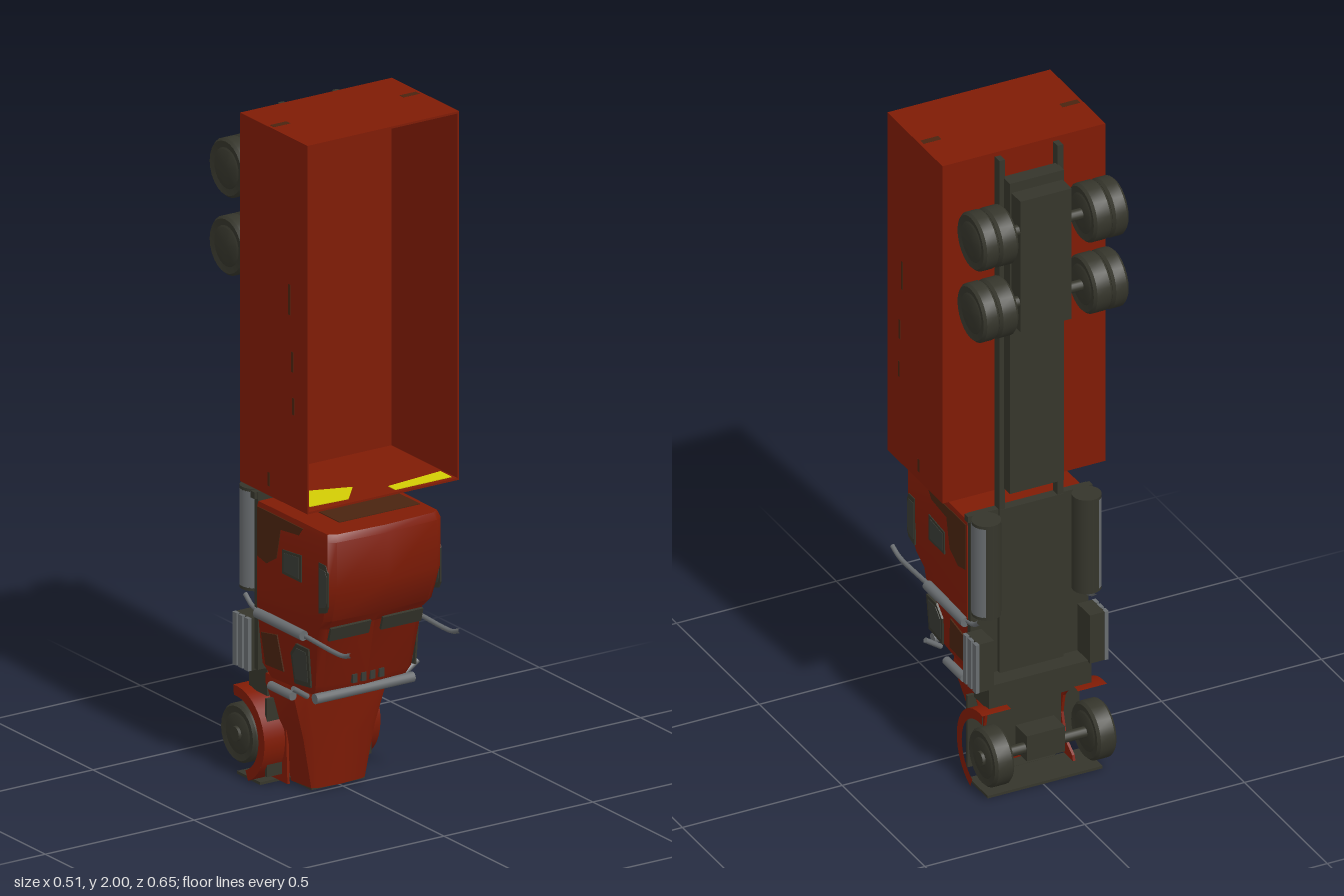
import * as THREE from 'three';
import { toCreasedNormals } from 'three/addons/utils/BufferGeometryUtils.js';

export function createModel() {
  const root = new THREE.Group();
  root.name = 'uprightDumpTruck';
  // The truck sits slightly to one side under the cargo box
  const truck = new THREE.Group();
  truck.name = 'truck';
  truck.position.x = -0.006;
  const cargo = new THREE.Group();
  cargo.name = 'cargoBox';
  root.add(truck, cargo);

  const paint = (name, color) => {
    const m = new THREE.MeshStandardMaterial({ color });
    m.name = name;
    return m;
  };
  const red = paint('red paint', 0x7f1b05);
  const brown = paint('brown wear', 0x4a2410);
  const dark = paint('dark rubber and frame', 0x35352b);
  const metal = paint('grey metal', 0x686c6f);
  const glass = paint('dark glass', 0x393b35);
  const yellow = paint('yellow paint', 0xd2cc04);

  const add = (name, geo, mat, x = 0, y = 0, z = 0, parent = truck) => {
    const m = new THREE.Mesh(geo, mat);
    m.name = name;
    m.position.set(x, y, z);
    parent.add(m);
    return m;
  };
  // Box given by its limits along each axis
  const box = (name, mat, x0, x1, y0, y1, z0, z1, parent = truck) =>
    add(name, new THREE.BoxGeometry(Math.abs(x1 - x0), y1 - y0, z1 - z0), mat,
      (x0 + x1) / 2, (y0 + y1) / 2, (z0 + z1) / 2, parent);
  const rod = (name, mat, r, length, axis, x, y, z, sides = 14) => {
    const g = new THREE.CylinderGeometry(r, r, length, sides);
    if (axis === 'x') g.rotateZ(Math.PI / 2);
    if (axis === 'z') g.rotateX(Math.PI / 2);
    return add(name, g, mat, x, y, z);
  };
  const shapeOf = (pts) => new THREE.Shape(pts.map(([x, y]) => new THREE.Vector2(x, y)));
  // Body shell through sections [y, floor half width, roof half width, floor z, roof z, corner]
  const loft = (sections, crease) => {
    const pos = [], idx = [], n = 7;
    for (const [y, w0, w1, z0, z1, c] of sections) {
      const ring = [[0, z1], [w1 - c, z1 - c * 0.4], [w1, z1 - c], [w0, z0], [-w0, z0], [-w1, z1 - c], [c - w1, z1 - c * 0.4]];
      for (const [x, z] of ring) pos.push(x, y, z);
    }
    const last = (sections.length - 1) * n;
    for (let i = 0; i < last; i += n)
      for (let j = 0; j < n; j++) {
        const a = i + j, b = i + (j + 1) % n;
        idx.push(a, b, b + n, a, b + n, a + n);
      }
    for (let j = 1; j < n - 1; j++) idx.push(0, j + 1, j, last, last + j, last + j + 1);
    const g = new THREE.BufferGeometry();
    g.setAttribute('position', new THREE.Float32BufferAttribute(pos, 3));
    g.setIndex(idx);
    return toCreasedNormals(g, crease);
  };

  // Open cargo box
  const t = 0.006;
  box('cargoFloor', red, -0.255, 0.255, 0.912, 2, -0.133, -0.133 + t, cargo);
  box('cargoTailWall', red, -0.255, 0.255, 2 - t, 2, -0.133, 0.2, cargo);
  box('cargoHeadWall', red, -0.255, 0.255, 0.912, 0.912 + t, -0.133, 0.2, cargo);
  for (const s of [-1, 1]) {
    box('cargoSideWall', red, s * (0.255 - t), s * 0.255, 0.912, 2, -0.133, 0.2, cargo);
    // Thin brown scratches along the walls
    for (const [z, y, h] of [[0.11, 1.52, 0.09], [0.125, 1.34, 0.06], [0.13, 1.21, 0.05], [0.01, 0.96, 0.04]])
      box('wallScratch', brown, s * 0.254, s * 0.256, y - h / 2, y + h / 2, z - 0.005, z + 0.005, cargo);
    box('tailScratch', brown, s * 0.19, s * 0.245, 1.998, 2.0005, 0, 0.02, cargo);
  }
  box('floorWear', brown, -0.249, -0.234, 1.0, 1.98, -0.128, -0.126, cargo);
  // Worn yellow patches on the head wall
  const patch = (pts, y) => add('yellowPatch',
    new THREE.ExtrudeGeometry(shapeOf(pts), { depth: 0.002, bevelEnabled: false }).rotateX(-Math.PI / 2), yellow, 0, y, 0, cargo);
  patch([[-0.225, -0.167], [-0.1, -0.175], [-0.035, -0.1], [-0.19, -0.045], [-0.165, 0.085], [-0.24, 0.05]], 0.918);
  patch([[0.05, -0.185], [0.24, -0.185], [0.24, -0.13], [0.05, -0.15]], 0.918);
  patch([[0.13, -0.11], [0.24, -0.18], [0.24, 0.1], [0.19, 0.1], [0.18, -0.02]], 0.91);

  // Cab and hood
  add('cab', loft([
    [0.325, 0.165, 0.15, -0.1, 0.11, 0.02],
    [0.36, 0.172, 0.16, -0.135, 0.13, 0.02],
    [0.54, 0.188, 0.175, -0.14, 0.165, 0.022],
    [0.575, 0.188, 0.182, -0.14, 0.2, 0.022],
    [0.68, 0.188, 0.19, -0.14, 0.235, 0.022],
    [0.82, 0.188, 0.19, -0.14, 0.235, 0.022],
    [0.84, 0.186, 0.184, -0.135, 0.225, 0.022]], 0.6), red);
  add('hood', loft([
    [0.008, 0.1, 0.09, -0.1, 0, 0.015],
    [0.16, 0.125, 0.12, -0.11, 0.015, 0.025],
    [0.3, 0.165, 0.16, -0.13, 0.03, 0.03],
    [0.33, 0.165, 0.15, -0.13, 0.035, 0.03]], 0.6), red);
  box('cabEndWear', brown, -0.1, 0.17, 0.839, 0.842, 0.02, 0.14);
  box('cowlUnderside', dark, -0.145, 0.145, 0.321, 0.327, 0.035, 0.1);

  for (const x of [-0.045, -0.015, 0.015, 0.045]) box('cowlVent', glass, x - 0.008, x + 0.008, 0.355, 0.38, 0.118, 0.136);

  for (const s of [-1, 1]) {
    // Thin windscreen plates tucked on the slope below the brow
    box('windscreen', dark, s * 0.02, s * 0.155, 0.508, 0.55, 0.166, 0.174).rotation.x = 0.3;

    // Side plates from an outline in (z, y)
    const plate = (name, pts, mat, x, lean, depth) => {
      const g = new THREE.ExtrudeGeometry(shapeOf(pts.map(([z, y]) => [-z, y])), { depth, bevelEnabled: false });
      g.rotateY(Math.PI / 2).translate(-depth / 2, 0, 0);
      add(name, g, mat, s * x, 0, 0).rotation.z = -s * lean;
    };
    // Windows: a thin dark frame with a smaller pane on it
    const win = (name, pts, x, lean = 0) => {
      const mid = [0, 1].map((k) => pts.reduce((sum, p) => sum + p[k], 0) / pts.length);
      plate(name + 'Frame', pts, dark, x, lean, 0.006);
      plate(name, pts.map((p) => p.map((v, k) => mid[k] + (v - mid[k]) * 0.78)), glass, x, lean, 0.009);
    };
    win('sleeperWindow', [[0.085, 0.665], [-0.01, 0.665], [-0.01, 0.735], [0.085, 0.745]], 0.189);
    win('cornerWindow', [[0.205, 0.61], [0.17, 0.6], [0.17, 0.75], [0.205, 0.75], [0.215, 0.73], [0.215, 0.63]], 0.189);
    win('doorWindow', [[0.11, 0.36], [0.03, 0.35], [0.02, 0.44], [0.05, 0.475], [0.11, 0.475]], 0.148, 0.075);
    // Brown wear on the cab sides
    plate('sideWear', [[0.09, 0.825], [0.07, 0.8], [-0.02, 0.79], [-0.04, 0.7], [-0.09, 0.67], [-0.135, 0.68], [-0.135, 0.825]], brown, 0.189, 0, 0.003);
    plate('doorWear', [[-0.02, 0.37], [-0.11, 0.365], [-0.12, 0.46], [-0.04, 0.475]], brown, 0.145, 0.09, 0.004);

    // Front fender: a thin outer shell, its side lip and the apron joining it to the hood
    const shell = new THREE.CylinderGeometry(0.138, 0.138, 0.09, 18, 1, true, -1.15, Math.PI - 0.3);
    add('frontFender', shell.rotateZ(Math.PI / 2), red, s * 0.15, 0.13, -0.23);
    const lip = new THREE.RingGeometry(0.108, 0.138, 20, 1, s > 0 ? 1.45 : -1.15, Math.PI - 0.3);
    add('fenderLip', lip.rotateY(s * Math.PI / 2), red, s * 0.195, 0.13, -0.23);
    plate('fenderApron', [[-0.08, 0.008], [-0.19, 0.008], [-0.185, 0.025], [-0.14, 0.055], [-0.118, 0.13], [-0.13, 0.19],
      [-0.17, 0.24], [-0.13, 0.27], [-0.09, 0.25]], red, 0.122, 0, 0.008);

    // Exhaust stack with sleeve
    const path = new THREE.CatmullRomCurve3([[-0.205, 0.545], [-0.17, 0.52], [-0.1, 0.512], [0.1, 0.507], [0.25, 0.502], [0.285, 0.505], [0.32, 0.518]]
      .map(([z, y]) => new THREE.Vector3(s * 0.183, y, z)));
    add('exhaustPipe', new THREE.TubeGeometry(path, 30, 0.007, 8), metal);
    rod('exhaustSleeve', metal, 0.015, 0.23, 'z', s * 0.19, 0.511, -0.02);

    // Fuel tank: bright outer face, dark inner face and ends
    const start = s > 0 ? 0.6 : Math.PI + 0.5, span = Math.PI - 1.1;
    add('fuelTankFace', new THREE.CylinderGeometry(0.042, 0.042, 0.285, 10, 1, true, start, span), metal, s * 0.157, 0.715, -0.197);
    add('fuelTankBack', new THREE.CylinderGeometry(0.042, 0.042, 0.285, 16, 1, true, start + span, Math.PI * 2 - span), dark, s * 0.157, 0.715, -0.197);
    for (const y of [0.569, 0.861]) rod('fuelTankEnd', dark, 0.042, 0.01, 'y', s * 0.157, y, -0.197, 20);
    box('tankBracket', dark, s * 0.1, s * 0.195, 0.845, 0.865, -0.16, -0.14);

    // Step box with treads
    box('stepBox', dark, s * 0.15, s * 0.198, 0.335, 0.49, -0.23, -0.155);
    for (const z of [-0.222, -0.193, -0.164]) box('stepTread', metal, s * 0.196, s * 0.208, 0.335, 0.49, z - 0.01, z + 0.01);

    // Mirror bracket at the front of the cab
    rod('mirrorArm', metal, 0.008, 0.06, 'x', s * 0.185, 0.335, 0.07, 8).rotation.z = s * 0.6;
    rod('mirrorPost', metal, 0.013, 0.11, 'z', s * 0.172, 0.305, -0.04, 10);

    // Long frame rail
    box('frameRail', dark, s * 0.082, s * 0.1, 0.78, 1.99, -0.166, -0.138);
  }
  rod('frontBar', metal, 0.015, 0.33, 'x', 0, 0.324, 0.112);

  // Chassis
  box('cabUnderside', dark, -0.185, 0.185, 0.34, 0.865, -0.155, -0.138);
  box('frontChassis', dark, -0.1, 0.1, 0.34, 0.865, -0.168, -0.15);
  box('hoodUnderside', dark, -0.175, 0.175, 0.03, 0.26, -0.118, -0.108);
  box('frontSpringBox', dark, -0.16, 0.16, 0.26, 0.34, -0.22, -0.13);
  box('rearChassis', dark, -0.085, 0.085, 0.93, 1.93, -0.2, -0.155);
  box('bogieFrame', dark, -0.08, 0.08, 1.48, 1.9, -0.255, -0.195);
  box('frontCrossMember', dark, -0.06, 0.06, 0.09, 0.17, -0.255, -0.185);
  box('noseUnderside', dark, -0.09, 0.09, 0.002, 0.009, -0.14, -0.015);
  box('bumper', dark, -0.18, 0.18, 0, 0.008, -0.25, -0.135);

  // Wheels with rounded shoulders
  const tyre = (w) => {
    const h = w / 2;
    const profile = [[0, -h], [0.055, -h], [0.06, -h + 0.003], [0.079, -h], [0.086, -h + 0.008], [0.086, h - 0.008], [0.079, h], [0.06, h - 0.003], [0.055, h], [0, h]];
    const g = new THREE.LatheGeometry(profile.map(([x, y]) => new THREE.Vector2(x, y)), 24);
    return toCreasedNormals(g.rotateZ(-Math.PI / 2), 0.6);
  };
  const single = tyre(0.06), outer = tyre(0.05), inner = tyre(0.058);
  for (const y of [0.125, 1.57, 1.8]) rod('axle', dark, 0.016, 0.3, 'x', 0, y, -0.238);
  for (const s of [-1, 1]) {
    add('frontWheel', single, dark, s * 0.16, 0.125, -0.235);
    rod('frontHub', dark, 0.022, 0.012, 'x', s * 0.193, 0.125, -0.235);
    for (const y of [1.57, 1.8]) {
      add('rearOuterWheel', outer, dark, s * 0.202, y, -0.237);
      add('rearInnerWheel', inner, dark, s * 0.147, y, -0.237);
    }
  }
  return root;
}
